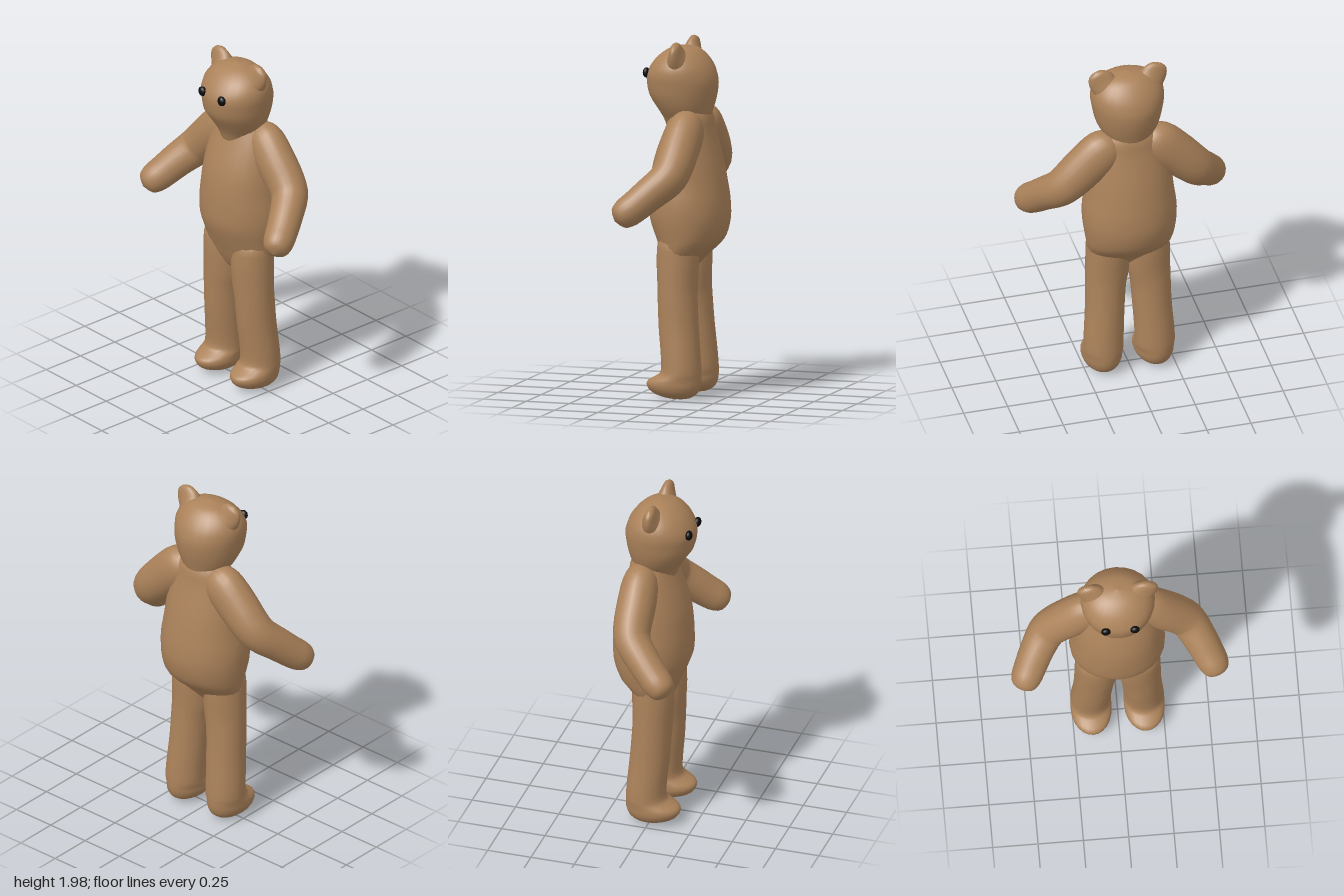
import * as THREE from 'three';

const SIDES = 24;
const STEPS = 3;

// Catmull-Rom blend of whole ring records
function refine(rows) {
  const out = [];
  const at = (i) => rows[Math.min(Math.max(i, 0), rows.length - 1)];
  for (let i = 0; i < rows.length - 1; i++) {
    const [p, q, r, s] = [at(i - 1), at(i), at(i + 1), at(i + 2)];
    for (let k = 0; k < STEPS; k++) {
      const t = k / STEPS;
      out.push(q.map((_, c) => 0.5 * (2 * q[c] + (r[c] - p[c]) * t
        + (2 * p[c] - 5 * q[c] + 4 * r[c] - s[c]) * t * t
        + (3 * q[c] - p[c] - 3 * r[c] + s[c]) * t * t * t)));
    }
  }
  out.push(rows[rows.length - 1]);
  return out;
}

// Skin over elliptical rings [x, y, z, radiusA, radiusB];
// rings stay level, or turn to follow the path when level is false
function loft(rows, level = true) {
  const rings = refine(rows);
  const centres = rings.map((r) => new THREE.Vector3(r[0], r[1], r[2]));
  const pos = [];
  const index = [];
  rings.forEach((r, i) => {
    const t = level ? new THREE.Vector3(0, 1, 0)
      : centres[Math.min(i + 1, rings.length - 1)].clone().sub(centres[Math.max(i - 1, 0)]).normalize();
    const v = new THREE.Vector3(0, 0, 1).addScaledVector(t, -t.z).normalize();
    const u = t.clone().cross(v);
    for (let j = 0; j < SIDES; j++) {
      const a = (j / SIDES) * Math.PI * 2;
      const p = centres[i].clone()
        .addScaledVector(u, Math.max(r[3], 0) * Math.cos(a))
        .addScaledVector(v, Math.max(r[4], 0) * Math.sin(a));
      pos.push(p.x, p.y, p.z);
      if (i < rings.length - 1) {
        const a0 = i * SIDES + j;
        const b0 = i * SIDES + (j + 1) % SIDES;
        index.push(a0, a0 + SIDES, b0, b0, a0 + SIDES, b0 + SIDES);
      }
    }
  });
  const g = new THREE.BufferGeometry();
  g.setAttribute('position', new THREE.Float32BufferAttribute(pos, 3));
  g.setIndex(index);
  g.computeVertexNormals();
  return g;
}

// Level ring from height, centre x, half width, front z and back z
const ring = ([y, x, w, front, back]) => [x, y, (front + back) / 2, w, (front - back) / 2];

export function createModel() {
  const model = new THREE.Group();
  model.name = 'bear';
  const fur = new THREE.MeshStandardMaterial({ color: 0xab825a });
  fur.name = 'brown fur';
  const black = new THREE.MeshStandardMaterial({ color: 0x0a0a0a });
  black.name = 'eye black';
  const add = (name, geometry, material = fur) => {
    const mesh = new THREE.Mesh(geometry, material);
    mesh.name = name;
    model.add(mesh);
    return mesh;
  };

  // Pear-shaped torso with a full rump
  add('torso', loft([
    [0.68, 0, 0, 0.02, -0.02], [0.72, 0, 0.11, 0.07, -0.06], [0.79, 0, 0.21, 0.105, -0.12],
    [0.84, 0, 0.236, 0.125, -0.175], [0.9, 0, 0.248, 0.15, -0.225], [1.0, 0, 0.262, 0.185, -0.252],
    [1.1, 0, 0.263, 0.19, -0.25], [1.2, 0, 0.25, 0.185, -0.235], [1.3, 0, 0.24, 0.17, -0.215],
    [1.4, 0, 0.225, 0.14, -0.19], [1.5, 0, 0.2, 0.1, -0.165], [1.58, 0, 0.16, 0.07, -0.15],
    [1.65, 0, 0.1, 0.05, -0.1], [1.68, 0, 0, 0, 0],
  ].map(ring)));

  // Head tapering to the chin
  add('head', loft([
    [1.45, 0, 0, 0.02, 0.02], [1.49, 0, 0.08, 0.09, -0.1], [1.55, 0, 0.12, 0.115, -0.14],
    [1.61, 0, 0.16, 0.15, -0.16], [1.68, 0, 0.187, 0.195, -0.178], [1.75, 0, 0.2, 0.209, -0.186],
    [1.8, 0, 0.205, 0.207, -0.178], [1.85, 0, 0.197, 0.182, -0.157], [1.9, 0, 0.163, 0.14, -0.12],
    [1.94, 0, 0.1, 0.08, -0.07], [1.957, 0, 0, 0.01, 0.01],
  ].map(ring)));

  for (const [side, s] of [['left', 1], ['right', -1]]) {
    const mirror = (rows) => rows.map(([x, ...rest]) => [s * x, ...rest]);

    // Thin rounded ear, flaring at its root
    add(side + 'Ear', loft(mirror([
      [0.09, 1.83, 0, 0.08, 0.1], [0.125, 1.88, 0, 0.078, 0.065], [0.15, 1.92, 0, 0.074, 0.042],
      [0.167, 1.95, 0, 0.062, 0.03], [0.178, 1.973, 0, 0.04, 0.02], [0.183, 1.984, 0, 0, 0],
    ]), false));

    // Eye
    const eye = add(side + 'Eye', new THREE.SphereGeometry(0.028, 16, 12), black);
    eye.scale.set(0.95, 1, 0.68);
    eye.position.set(s * 0.08, 1.805, 0.196);

    // Arm bent forward at the elbow
    add(side + 'Arm', loft(mirror([
      [0.06, 1.56, -0.06, 0, 0], [0.09, 1.545, -0.06, 0.08, 0.07], [0.15, 1.5, -0.058, 0.125, 0.1],
      [0.25, 1.41, -0.053, 0.122, 0.107], [0.34, 1.32, -0.048, 0.113, 0.104], [0.395, 1.26, -0.025, 0.105, 0.1],
      [0.45, 1.19, 0.05, 0.096, 0.093], [0.492, 1.125, 0.12, 0.09, 0.088], [0.518, 1.087, 0.167, 0.084, 0.083],
      [0.538, 1.058, 0.205, 0.06, 0.06], [0.547, 1.045, 0.222, 0, 0],
    ]), false));

    // Leg with a short foot pointing forward
    add(side + 'Leg', loft(mirror([
      [0.01, 0.15, 0, -0.03, -0.03], [0.018, 0.15, 0.05, 0.06, -0.08], [0.045, 0.148, 0.092, 0.135, -0.122],
      [0.08, 0.147, 0.11, 0.165, -0.138], [0.11, 0.147, 0.112, 0.16, -0.142], [0.135, 0.146, 0.112, 0.118, -0.142],
      [0.165, 0.146, 0.111, 0.085, -0.141], [0.25, 0.143, 0.11, 0.085, -0.135], [0.4, 0.134, 0.109, 0.1, -0.122],
      [0.55, 0.127, 0.113, 0.108, -0.112], [0.65, 0.117, 0.121, 0.113, -0.11], [0.8, 0.113, 0.122, 0.118, -0.115],
      [0.9, 0.11, 0.11, 0.1, -0.1], [0.95, 0.11, 0, 0, 0],
    ].map(ring))));
  }
  return model;
}
